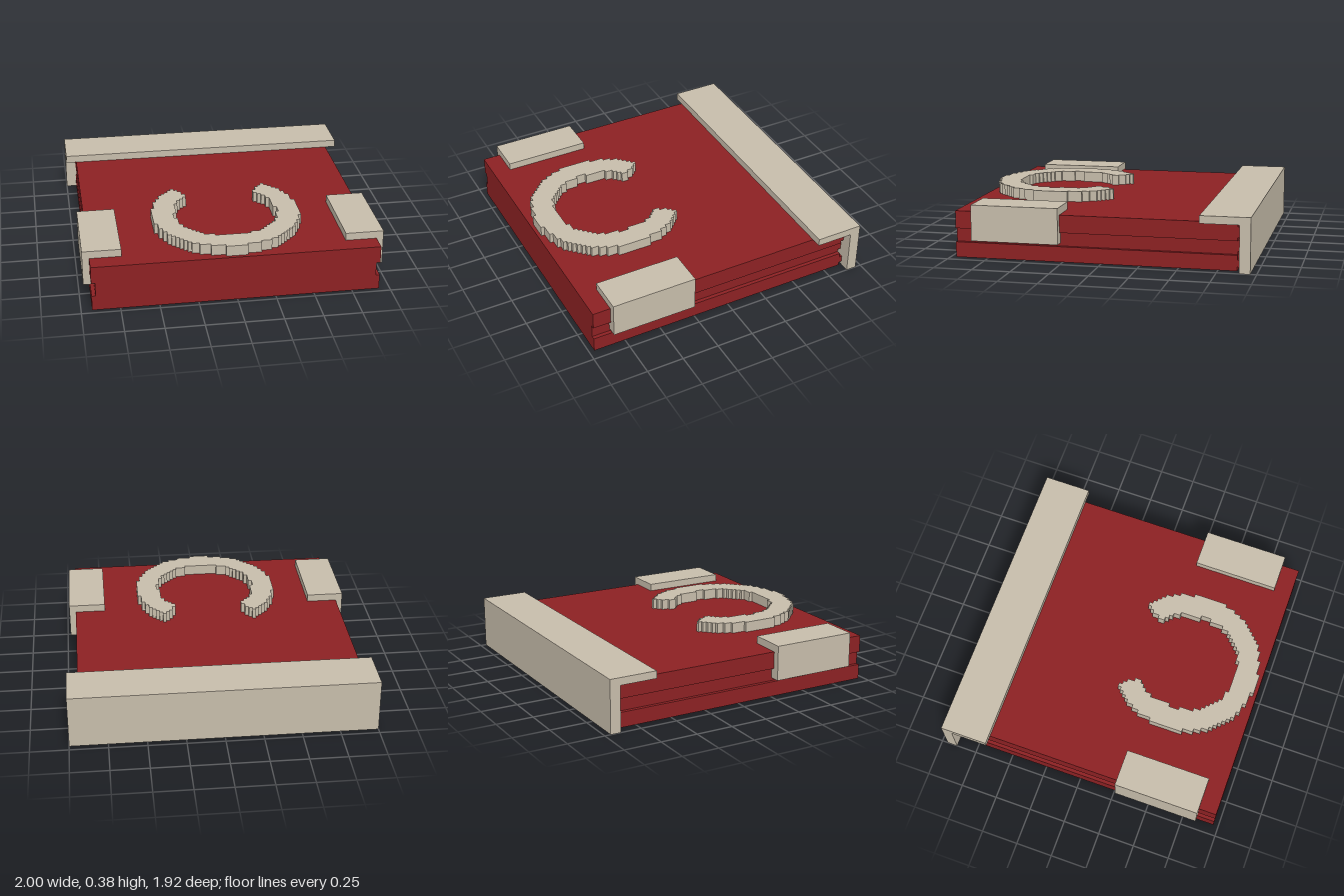
import * as THREE from 'three';

const red = new THREE.MeshStandardMaterial({ color: 0x8c2123, name: 'deep red' });
const stone = new THREE.MeshStandardMaterial({ color: 0xc6bcaa, name: 'warm stone' });

// Extrude an x/y outline along z between two depths
function prism(name, points, z0, z1, material) {
  const shape = new THREE.Shape(points.map(([x, y]) => new THREE.Vector2(x, y)));
  const geometry = new THREE.ExtrudeGeometry(shape, { depth: z1 - z0, bevelEnabled: false });
  geometry.translate(0, 0, z0);
  const mesh = new THREE.Mesh(geometry, material);
  mesh.name = name;
  return mesh;
}

// Mirror a right-hand profile (bottom to top) into a closed outline
const mirrored = (half) => [...half, ...half.map(([x, y]) => [-x, y]).reverse()];

// Stepped horseshoe: cell counts of the outer and inner edge, row by row from the tips
function createHorseshoe() {
  const cell = 0.0232, zStart = 0.06;
  const outer = [14, 15, 16, 17, 18, 18, 19, 19, 20, 20, 20, 20, 21, 21, 21, 21, 21, 21, 21,
    21, 21, 21, 20, 20, 20, 19, 19, 18, 18, 17, 16, 15, 14, 13, 12, 10, 7, 3];
  const inner = [13, 12, 11, 11, 10, 10, 11, 12, 13, 13, 14, 14, 14, 14, 14, 14, 15, 15, 15,
    14, 14, 14, 14, 13, 13, 12, 11, 10, 9, 8, 5];
  const stairs = (rows) => rows.flatMap((n, i) => [
    [n * cell, -(zStart + i * cell)],
    [n * cell, -(zStart + (i + 1) * cell)],
  ]);
  const flip = (points) => points.map(([x, y]) => [-x, y]);
  const out = stairs(outer), inn = stairs(inner);
  const outline = [...out, ...flip(out).reverse(), ...flip(inn), ...[...inn].reverse()];
  const mesh = prism('horseshoe', outline, 0.305, 0.375, stone);
  mesh.geometry.rotateX(-Math.PI / 2);
  return mesh;
}

export function createModel() {
  const model = new THREE.Group();

  // Slab with a groove along each side
  model.add(prism('slab', mirrored([
    [0.93, 0], [0.93, 0.1], [0.905, 0.1], [0.905, 0.19], [0.93, 0.19], [0.93, 0.305],
  ]), -0.87, 0.965, red));

  // Ribs joining the slab to the back rail
  [[0.025, 0.07, 0.93], [0.12, 0.19, 0.905], [0.21, 0.28, 0.93]].forEach(([y0, y1, w]) => {
    const rib = new THREE.Mesh(new THREE.BoxGeometry(w * 2, y1 - y0, 0.02), red);
    rib.position.set(0, (y0 + y1) / 2, -0.88);
    rib.name = 'backRib';
    model.add(rib);
  });

  // L-shaped rail over the back edge
  const rail = prism('backRail', [
    [0.96, 0], [0.96, 0.355], [0.64, 0.355], [0.64, 0.305], [0.89, 0.305], [0.89, 0],
  ], -1, 1, stone);
  rail.rotation.y = Math.PI / 2;
  model.add(rail);

  // Side clips hooked into the grooves
  for (const side of [-1, 1]) {
    model.add(prism(side > 0 ? 'leftClip' : 'rightClip', [
      [0.725, 0.305], [0.93, 0.305], [0.93, 0.19], [0.905, 0.19],
      [0.905, 0.12], [0.975, 0.12], [0.975, 0.355], [0.725, 0.355],
    ].map(([x, y]) => [x * side, y]), 0.27, 0.845, stone));
  }

  model.add(createHorseshoe());
  return model;
}
